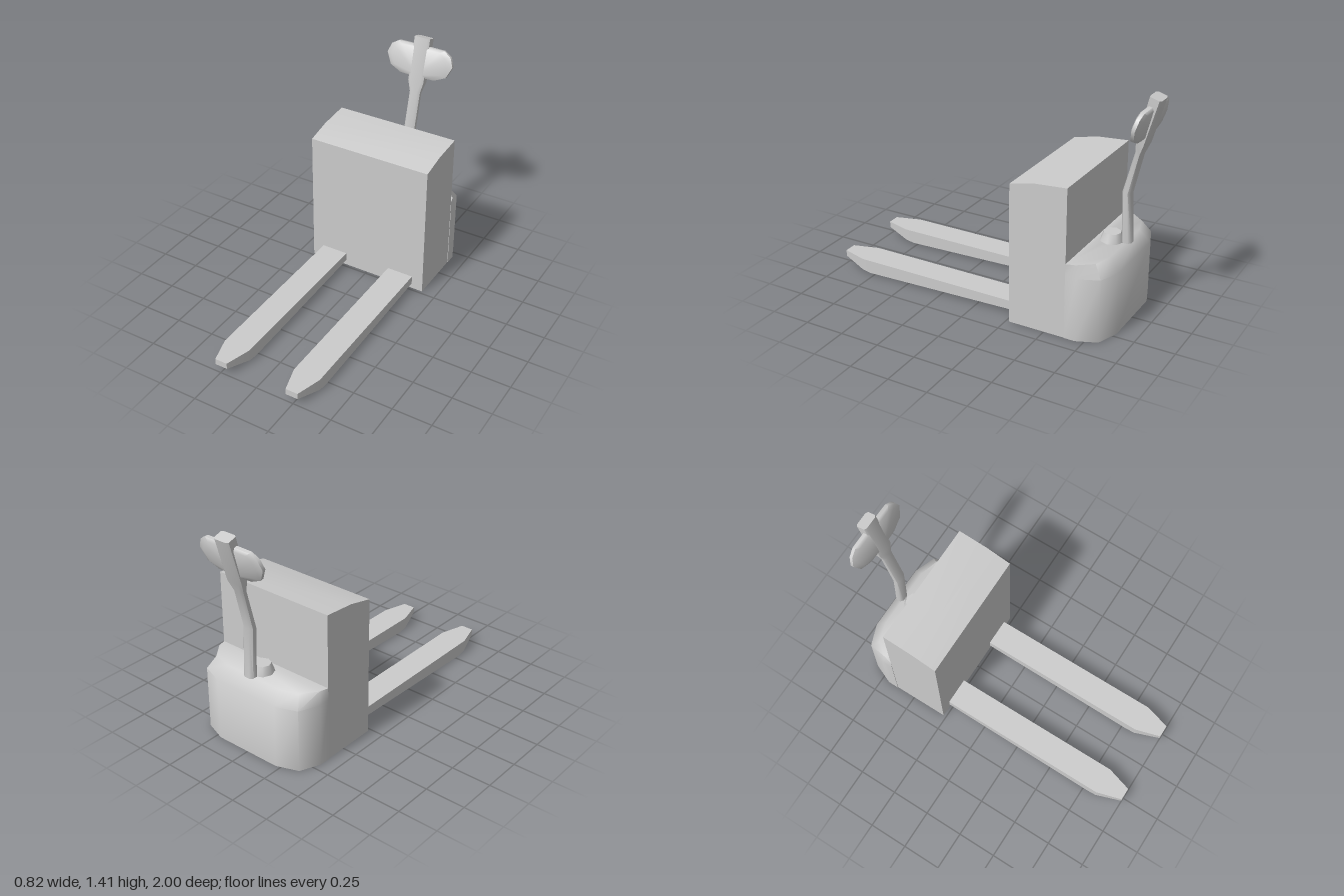
import * as THREE from 'three';
import { toCreasedNormals } from 'three/addons/utils/BufferGeometryUtils.js';

const material = new THREE.MeshStandardMaterial({ color: 0xcccccc });

// Skin a list of equal-length convex rings of [x, y, z], closed at both ends.
function loft(name, rings, crease = 0.75) {
  const n = rings[0].length;
  const points = rings.flat().map((p) => new THREE.Vector3(...p));
  const index = [];
  for (let r = 0; r < rings.length - 1; r++) {
    for (let i = 0; i < n; i++) {
      const a = r * n + i, b = r * n + (i + 1) % n;
      index.push(a, b, b + n, a, b + n, a + n);
    }
  }
  const last = (rings.length - 1) * n;
  for (let i = 1; i < n - 1; i++) {
    index.push(0, i + 1, i, last, last + i, last + i + 1);
  }
  // Turn the faces outward whichever way the rings were listed.
  let volume = 0;
  const cross = new THREE.Vector3();
  for (let i = 0; i < index.length; i += 3) {
    const [a, b, c] = [0, 1, 2].map((k) => points[index[i + k]]);
    volume += a.dot(cross.crossVectors(b, c));
  }
  if (volume < 0) index.reverse();

  const geometry = new THREE.BufferGeometry().setFromPoints(points);
  geometry.setIndex(index);
  const mesh = new THREE.Mesh(toCreasedNormals(geometry, crease), material);
  mesh.name = name;
  return mesh;
}

// Mirror a half outline of [x, ...] across x = 0 into a closed ring.
const mirrored = (half) => [...half, ...half.slice().reverse().map(([x, ...rest]) => [-x, ...rest])];

// Tall cabinet with a gently sloping lid
function createCabinet() {
  const profile = [[0, -0.27], [0.885, -0.27], [0.92, -0.43], [0.935, -0.63], [0, -0.63]];
  return loft('cabinet', [-0.405, 0.405].map((x) => profile.map(([y, z]) => [x, y, z])), 0.3);
}

// Rounded motor housing behind the cabinet
function createHousing() {
  const plan = [[0.408, -0.63], [0.408, -0.70], [0.355, -0.825], [0.22, -0.875]];
  const topPlan = [[0.405, -0.63], [0.39, -0.685], [0.32, -0.775], [0.20, -0.81]];
  const ring = (p, y) => mirrored(p.map(([x, z]) => [x, y, z]));
  return loft('motorHousing', [ring(plan, 0), ring(plan, 0.40), ring(topPlan, 0.475)], 0.95);
}

// Load fork with a wedge-shaped tip
function createFork(side) {
  const stations = [ // z, half width, bottom y
    [-0.28, 0.087, 0.035], [0.78, 0.087, 0.004], [0.84, 0.087, 0.015], [1, 0.04, 0.05],
  ];
  const cx = side * 0.243;
  const rings = stations.map(([z, w, y]) => [
    [cx - w, y, z], [cx + w, y, z], [cx + w, 0.09, z], [cx - w, 0.09, z],
  ]);
  return loft(side > 0 ? 'leftFork' : 'rightFork', rings, 0.6);
}

// Bent tiller that widens into the control head
function createTiller() {
  const stations = [ // y, z, half width, half depth, tilt, corner bevel
    [0.49, -0.825, 0.036, 0.029, 0, 0.5],
    [0.80, -0.812, 0.036, 0.026, 0.08, 0.5],
    [1.05, -0.873, 0.036, 0.022, 0.27, 0.5],
    [1.12, -0.891, 0.054, 0.032, 0.27, 0.7],
    [1.395, -0.965, 0.054, 0.036, 0.3, 0.75],
  ];
  const rings = stations.map(([y, z, w, d, tilt, k]) => {
    const corners = [[1, k], [k, 1], [-k, 1], [-1, k], [-1, -k], [-k, -1], [k, -1], [1, -k]];
    return corners.map(([u, v]) => [u * w, y + v * d * Math.sin(tilt), z + v * d * Math.cos(tilt)]);
  });
  return loft('tiller', rings, 0.9);
}

// Thin wing-shaped control handle through the head
function createControlWings() {
  const half = [[0, -0.105], [0.12, -0.1], [0.195, -0.065], [0.23, 0.01],
    [0.207, 0.07], [0.16, 0.1], [0, 0.102]];
  const outline = [...half, ...half.slice(1, -1).reverse().map(([x, y]) => [-x, y])];
  const layers = [[-0.023, 0.84], [-0.01, 1], [0.01, 1], [0.023, 0.84]];
  const wings = loft('controlWings',
    layers.map(([z, s]) => outline.map(([x, y]) => [x * s, y * s, z])), 0.9);
  wings.position.set(0, 1.25, -0.918);
  wings.rotation.x = -0.25;
  return wings;
}

export function createModel() {
  const model = new THREE.Group();
  model.name = 'palletTruck';
  model.add(createCabinet(), createHousing(), createFork(1), createFork(-1),
    createTiller(), createControlWings());

  // Tapered cap on the housing in front of the tiller
  const cap = new THREE.Mesh(
    toCreasedNormals(new THREE.CylinderGeometry(0.053, 0.074, 0.06, 8), 0.9), material);
  cap.name = 'housingCap';
  cap.position.set(0, 0.5, -0.727);
  model.add(cap);
  return model;
}
